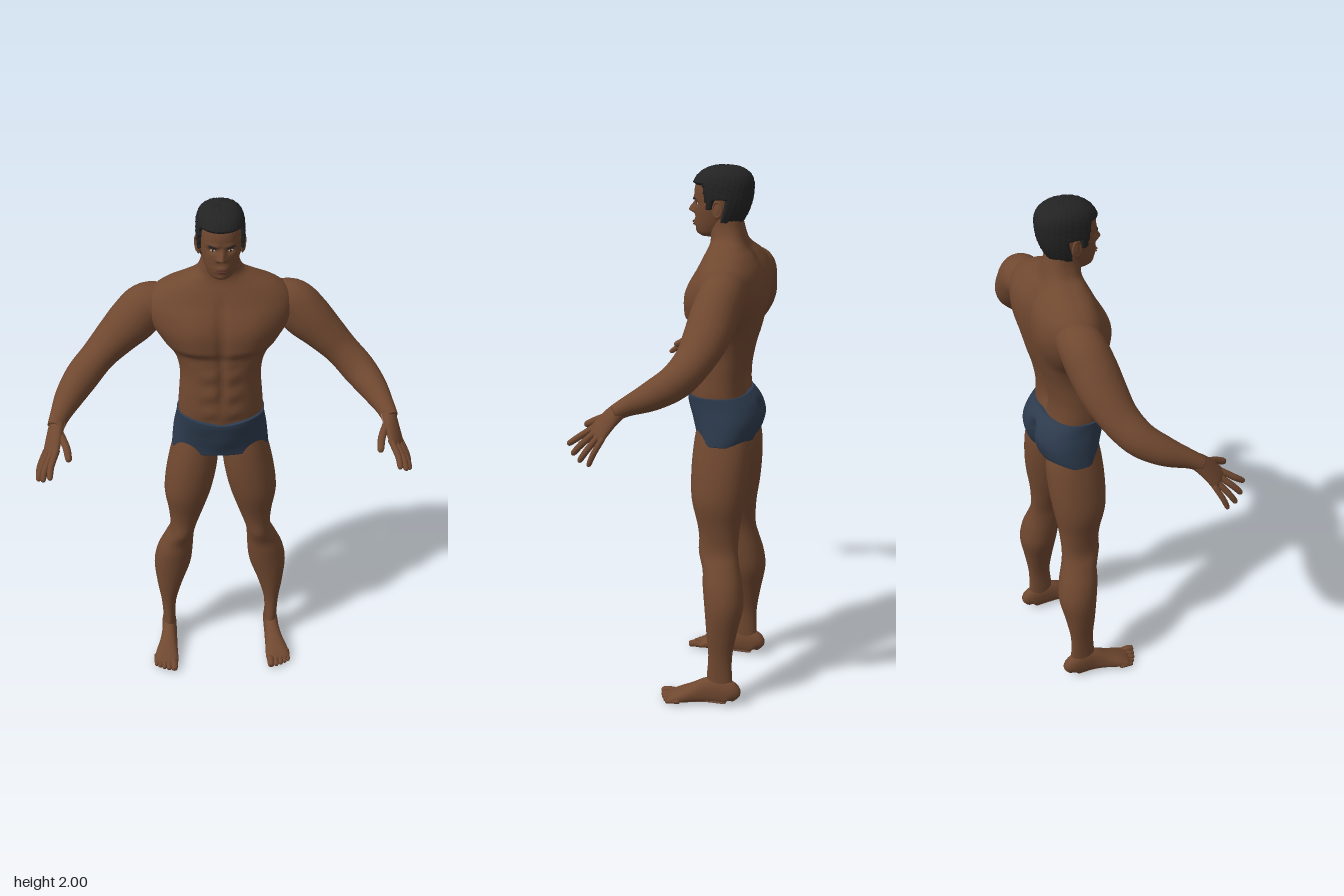
import * as THREE from 'three';

const mat = (name, color) => Object.assign(new THREE.MeshStandardMaterial({ color }), { name });
const V = (x, y, z) => new THREE.Vector3(x, y, z);
const bell = (v, c, w) => Math.exp(-(((v - c) / w) ** 2));
const step = (a, b, v) => THREE.MathUtils.smoothstep(v, a, b);
const sgnPow = (v, p) => Math.sign(v) * Math.abs(v) ** p;

// Smooth interpolation between the rows of a cross-section table, u in 0..1
function sample(rows, u) {
  const f = u * (rows.length - 1), i = Math.min(Math.floor(f), rows.length - 2), t = f - i;
  const at = k => rows[Math.max(0, Math.min(rows.length - 1, k))];
  return rows[i].map((_, k) => {
    const [a, b, c, d] = [at(i - 1)[k], at(i)[k], at(i + 1)[k], at(i + 2)[k]];
    return b + 0.5 * t * (c - a + t * (2 * a - 5 * b + 4 * c - d + t * (3 * (b - c) + d - a)));
  });
}

// Closed skin over rings of points; faces chosen by split(angle) go to a second material
function skin(rings, split) {
  const n = rings[0].length, pos = [], idx = [[], []];
  rings.forEach(r => r.forEach(p => pos.push(p.x, p.y, p.z)));
  const ends = [rings[0], rings[rings.length - 1]].map(r => {
    const c = r.reduce((s, p) => s.add(p), V(0, 0, 0)).divideScalar(n);
    pos.push(c.x, c.y, c.z);
    return pos.length / 3 - 1;
  });
  for (let j = 0; j < n; j++) {
    const k = (j + 1) % n, list = idx[split && split((j + 0.5) / n * 2 * Math.PI) ? 1 : 0];
    for (let i = 0; i < rings.length - 1; i++) {
      const a = i * n + j, b = i * n + k;
      list.push(a, b, b + n, a, b + n, a + n);
    }
    const top = (rings.length - 1) * n;
    list.push(ends[0], k, j, ends[1], top + j, top + k);
  }
  const g = new THREE.BufferGeometry();
  g.setAttribute('position', new THREE.Float32BufferAttribute(pos, 3));
  g.setIndex([...idx[0], ...idx[1]]);
  if (split) {
    g.addGroup(0, idx[0].length, 0);
    g.addGroup(idx[0].length, idx[1].length, 1);
  }
  g.computeVertexNormals();
  return g;
}

// Upright body part; rows are [y, centre x, half width, front z, back z]
function columnPoint(row, t, nf, nb, shape) {
  const [y, cx, hw, zf, zb] = row, c = Math.cos(t), e = 2 / (c > 0 ? nf : nb);
  const p = V(cx + hw * sgnPow(Math.sin(t), e), y, (zf + zb) / 2 + (zf - zb) / 2 * sgnPow(c, e));
  if (shape) shape(p, c, t);
  return p;
}
function column(rows, { steps = 40, sides = 48, nf = 2, nb = 2, shape } = {}) {
  return skin(Array.from({ length: steps + 1 }, (_, i) => {
    const row = sample(rows, i / steps);
    return Array.from({ length: sides }, (_, j) => columnPoint(row, j / sides * 2 * Math.PI, nf, nb, shape));
  }));
}

// Limb along a path; rows are [x, y, z, radius along ref, radius across]
function limb(rows, ref, { steps = 24, sides = 20, n = 2, split } = {}) {
  const at = u => sample(rows, Math.max(0, Math.min(1, u)));
  return skin(Array.from({ length: steps + 1 }, (_, i) => {
    const u = i / steps, r = at(u), c = V(...r);
    const T = V(...at(u + 0.01)).sub(V(...at(u - 0.01))).normalize();
    const N = ref.clone().addScaledVector(T, -ref.dot(T)).normalize(), B = T.clone().cross(N);
    return Array.from({ length: sides }, (_, j) => {
      const t = j / sides * 2 * Math.PI;
      return c.clone().addScaledVector(N, r[3] * sgnPow(Math.cos(t), 2 / n))
        .addScaledVector(B, r[4] * sgnPow(Math.sin(t), 2 / n));
    });
  }), split);
}

// Finger or toe: tapered with a rounded tip
function digit(a, m, b, r, ref) {
  const mix = (p, q, t) => p.map((v, i) => v + (q[i] - v) * t);
  return limb([[...a, r, r], [...m, r, r], [...mix(m, b, 0.75), r * 0.88, r * 0.88],
    [...mix(m, b, 0.94), r * 0.6, r * 0.6], [...b, r * 0.12, r * 0.12]], ref, { steps: 12, sides: 10 });
}

function mirrored(g) {
  const m = g.clone().scale(-1, 1, 1), ix = m.index.array;
  for (let i = 0; i < ix.length; i += 3) [ix[i], ix[i + 1]] = [ix[i + 1], ix[i]];
  m.computeVertexNormals();
  return m;
}

// Skull, with brow, sockets, nose, lips and chin pushed out of the surface
const headRows = [[1.752, 0, .028, -.035, -.11], [1.765, 0, .044, -.021, -.13], [1.79, 0, .056, -.014, -.16],
  [1.82, 0, .065, -.012, -.18], [1.85, 0, .071, -.011, -.195], [1.88, 0, .074, -.011, -.205],
  [1.91, 0, .075, -.009, -.21], [1.94, 0, .074, -.016, -.211], [1.965, 0, .066, -.034, -.2],
  [1.983, 0, .046, -.065, -.172], [1.99, 0, .016, -.1, -.138]];
function faceShape(p, c) {
  if (c <= 0) return;
  const x = Math.abs(p.x), y = p.y;
  const ridge = step(1.828, 1.841, y) * (1 - step(1.84, 1.885, y));
  p.z += 0.025 * ridge * bell(x, 0, .011) + .008 * bell(y, 1.838, .008) * bell(x, .013, .008)
    + .005 * bell(y, 1.887, .009) * bell(x, .028, .025) - .009 * bell(y, 1.868, .01) * bell(x, .031, .016)
    + .008 * bell(y, 1.798, .013) * bell(x, 0, .022) - .004 * bell(y, 1.797, .003) * bell(x, 0, .02)
    + .006 * bell(y, 1.766, .012) * bell(x, 0, .02);
}
function facePoint(x, y) {
  let lo = 0, hi = 1, u = 0, t = 0;
  for (let i = 0; i < 30; i++) { u = (lo + hi) / 2; if (sample(headRows, u)[0] < y) lo = u; else hi = u; }
  const row = sample(headRows, u);
  while (t < 1.5 && columnPoint(row, t, 2.2, 2.2).x < Math.abs(x)) t += 0.01;
  const p = columnPoint(row, t, 2.2, 2.2, faceShape);
  p.x = x;
  return p;
}

// Chest, abdomen and back relief
function torsoShape(p, c) {
  const x = Math.abs(p.x), y = p.y;
  if (c > 0) {
    const f = Math.min(1, c * 2.5);
    p.z += f * (.014 * step(1.445, 1.48, y) * (1 - step(1.55, 1.66, y)) * bell(x, .1, .075)
      - .01 * bell(x, 0, .016) * step(1.2, 1.3, y) * (1 - step(1.62, 1.7, y))
      - .004 * bell(y, 1.44, .02) + .003 * Math.sin((y - 1.2) * 80) * bell(x, .045, .03) * (1 - step(1.4, 1.44, y)));
  } else {
    const f = Math.min(1, -c * 2.5);
    p.z += f * (.022 * bell(x, 0, .028) * step(1.16, 1.25, y) * (1 - step(1.64, 1.76, y))
      - .006 * bell(x, .14, .06) * bell(y, 1.56, .08) + .006 * bell(y, 1.44, .05) * bell(x, .14, .05));
  }
}
function shortsShape(p, c) {
  const x = Math.abs(p.x);
  if (c > 0) {
    p.z += .008 * bell(x, 0, .05) * bell(p.y, 1.08, .05);
    p.y -= .02 * c * bell(x, 0, .1) * step(1.14, 1.19, p.y);
  } else p.z += .04 * bell(x, 0, .022) * (1 - step(1.1, 1.17, p.y)) * -c;
}

export function createModel() {
  const model = new THREE.Group();
  const brown = mat('skin', 0x704830), pale = mat('palm skin', 0xa8765e), navy = mat('shorts navy', 0x2d3b4e);
  const black = mat('hair black', 0x232323), lip = mat('lip', 0x5a3228), white = mat('eye white', 0xb8aca0);
  const add = (name, g, m) => {
    const mesh = new THREE.Mesh(g, m);
    mesh.name = name;
    model.add(mesh);
    return mesh;
  };
  const pair = (name, g, m) => { add('left ' + name, g, m); add('right ' + name, mirrored(g), m); };

  // Torso, neck and shorts
  add('torso', column([[1.15, 0, .155, -.005, -.225], [1.2, 0, .158, 0, -.214], [1.27, 0, .153, .003, -.215],
    [1.35, 0, .149, .003, -.23], [1.42, 0, .165, .003, -.25], [1.48, 0, .208, .004, -.262],
    [1.54, 0, .245, .002, -.27], [1.6, 0, .262, -.014, -.272], [1.65, 0, .25, -.036, -.262],
    [1.69, 0, .205, -.055, -.238], [1.72, 0, .14, -.068, -.213], [1.745, 0, .09, -.071, -.2],
    [1.78, 0, .07, -.065, -.19], [1.82, 0, .064, -.065, -.18]],
  { steps: 90, sides: 96, nf: 2.1, nb: 2.6, shape: torsoShape }), brown);
  add('shorts', column([[1.016, 0, .184, -.03, -.243], [1.05, 0, .181, -.025, -.26], [1.1, 0, .175, -.012, -.27],
    [1.15, 0, .166, .003, -.255], [1.19, 0, .163, .006, -.222]],
  { steps: 30, sides: 96, nf: 2.3, nb: 2.4, shape: shortsShape }), navy);

  // Head, and a hair shell that rises out of the skull above the hairline
  add('head', column(headRows, { steps: 100, sides: 128, nf: 2.2, nb: 2.2, shape: faceShape }), brown);
  const mid = V(0, 1.89, -.11);
  add('hair', column(headRows, { steps: 70, sides: 96, nf: 2.2, nb: 2.2, shape: (p, c, t) => {
    const line = c > .55 ? 1.932 : c > .1 ? 1.932 - .075 * step(.55, .4, c) - .075 * (1 - step(.3, .55, c))
      : c > -.25 ? 1.885 : 1.815;
    const curl = .0015 * Math.sin(t * 23 + p.y * 160) * Math.sin(p.y * 210 - t * 9);
    const out = p.y > line ? .011 + curl : -.012;
    p.addScaledVector(p.clone().sub(mid).normalize(), out);
  } }), black);

  // Facial details and ears
  const plate = (name, x, y, rx, ry, m, lift = 0, tilt = 0) => {
    const e = add(name, new THREE.SphereGeometry(1, 16, 10), m);
    e.scale.set(rx, ry, .004);
    e.position.copy(facePoint(x, y));
    e.position.z += lift;
    e.rotation.set(0, x * 14, tilt);
  };
  for (const s of [1, -1]) {
    const side = s > 0 ? 'left ' : 'right ';
    plate(side + 'eye', s * .03, 1.867, .011, .0045, white);
    plate(side + 'iris', s * .03, 1.867, .0045, .0045, black, .0015);
    plate(side + 'eyebrow', s * .032, 1.885, .017, .004, black, 0, s * .15);
    const ear = add(side + 'ear', new THREE.SphereGeometry(1, 16, 12), brown);
    ear.scale.set(.008, .032, .018);
    ear.position.set(s * .077, 1.852, -.108);
    ear.rotation.set(-.15, s * -.3, 0);
    const rim = add(side + 'ear rim', new THREE.TorusGeometry(.017, .004, 8, 20), brown);
    rim.scale.set(1, 1.5, 1);
    rim.position.set(s * .082, 1.856, -.11);
    rim.rotation.set(0, Math.PI / 2 - s * .3, 0);
  }
  plate('upper lip', 0, 1.801, .02, .0035, lip);
  plate('lower lip', 0, 1.792, .017, .0045, lip);

  // Arms
  pair('arm', limb([[.17, 1.6, -.17, .07, .06], [.255, 1.588, -.172, .08, .085], [.315, 1.535, -.162, .083, .087],
    [.378, 1.475, -.15, .08, .074], [.445, 1.41, -.125, .068, .062], [.505, 1.352, -.08, .06, .062],
    [.552, 1.31, -.01, .05, .052], [.585, 1.277, .065, .033, .036], [.6, 1.255, .105, .027, .03]],
  V(0, 0, 1), { steps: 50, sides: 36 }), brown);

  // Hands, with a paler palm
  const handUp = V(.68, .64, .31);
  pair('hand', limb([[.593, 1.266, .088, .027, .03], [.604, 1.232, .124, .021, .038], [.618, 1.187, .16, .015, .042],
    [.622, 1.174, .17, .007, .036]], handUp, { split: t => Math.cos(t) < -.35 }), [brown, pale]);
  const fingers = [['index finger', [.595, 1.203, .173], [.616, 1.168, .225], [.621, 1.138, .267], .0115],
    ['middle finger', [.61, 1.194, .162], [.638, 1.15, .21], [.649, 1.113, .242], .0115],
    ['ring finger', [.625, 1.186, .149], [.655, 1.135, .187], [.668, 1.096, .212], .011],
    ['little finger', [.638, 1.178, .135], [.662, 1.13, .16], [.672, 1.085, .178], .01],
    ['thumb', [.588, 1.245, .118], [.562, 1.216, .175], [.551, 1.188, .228], .014]];
  fingers.forEach(([name, a, m, b, r]) => pair(name, digit(a, m, b, r, handUp), brown));

  // Legs
  pair('leg', column([[.04, .215, .026, -.12, -.218], [.1, .213, .025, -.113, -.211], [.2, .214, .03, -.119, -.21],
    [.3, .208, .051, -.11, -.226], [.4, .195, .073, -.1, -.245], [.48, .183, .071, -.09, -.238],
    [.55, .166, .058, -.08, -.222], [.61, .15, .05, -.072, -.213], [.7, .137, .067, -.058, -.217],
    [.8, .128, .09, -.034, -.232], [.9, .112, .096, -.028, -.242], [1, .097, .09, -.033, -.242],
    [1.08, .09, .075, -.045, -.22]], { steps: 60, sides: 40, nf: 2.1, nb: 2.1, shape: (p, c) => {
    if (c > 0) p.z += c * (.008 * bell(p.y, .6, .035) - .004 * bell(p.y, .53, .03));
  } }), brown);

  // Feet with pale soles, and toes
  pair('foot', limb([[.215, .028, -.226, .018, .012], [.215, .047, -.208, .046, .027], [.215, .056, -.165, .055, .03],
    [.216, .052, -.12, .051, .031], [.221, .039, -.07, .038, .037], [.229, .027, -.02, .026, .046],
    [.232, .018, .015, .017, .049], [.234, .014, .03, .01, .042]], V(0, 1, 0),
  { steps: 32, sides: 28, n: 2.3, split: t => Math.cos(t) < -.6 }), [brown, pale]);
  [[.2, .07, .0145], [.222, .064, .011], [.241, .056, .0105], [.258, .046, .01], [.273, .035, .0095]]
    .forEach(([x, z, r], i) => pair('toe ' + (i + 1),
      digit([x, .018, z - .055], [x, r + .005, z - .025], [x, r, z], r, V(0, 1, 0)), brown));

  return model;
}
